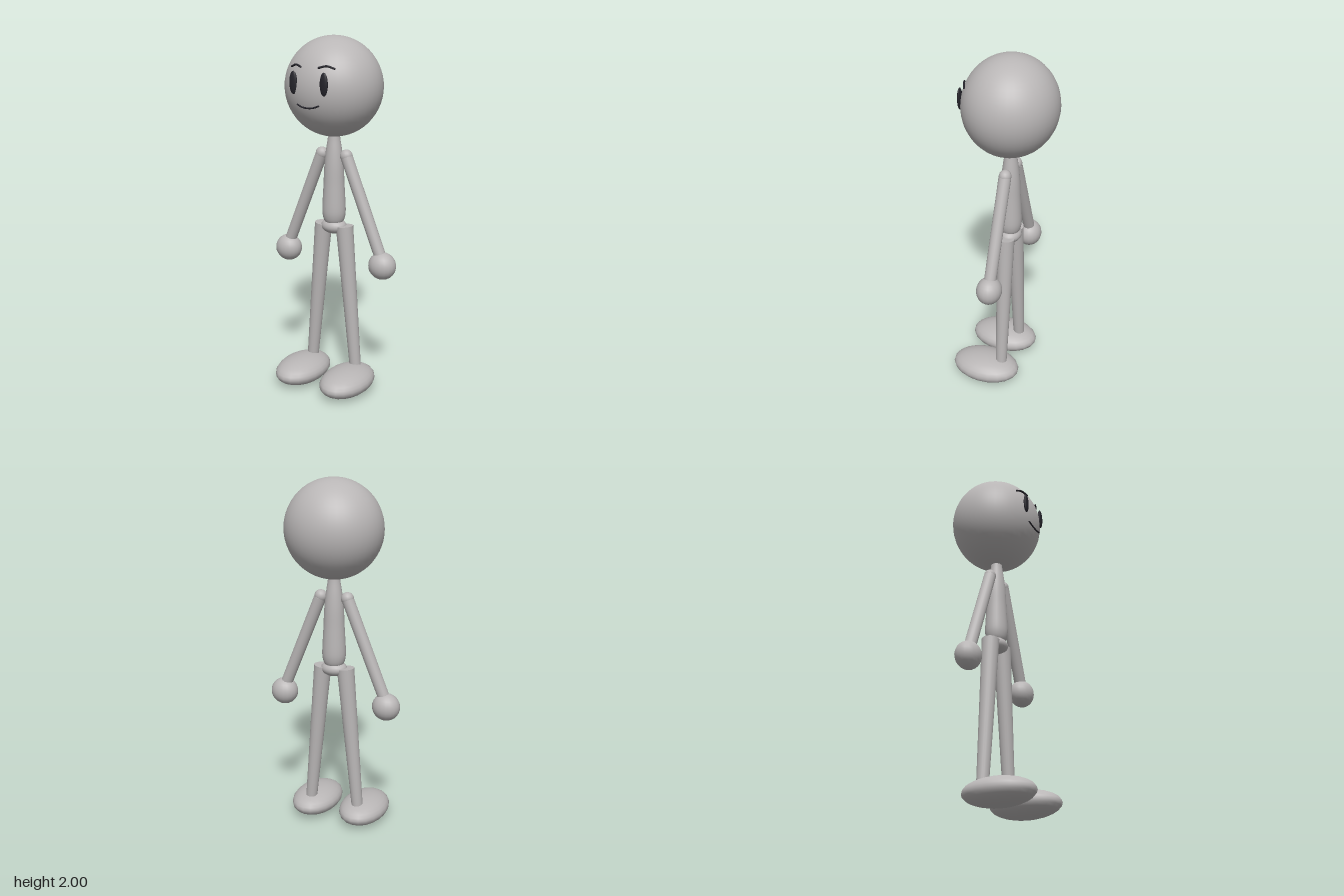
import * as THREE from 'three';

const skin = new THREE.MeshStandardMaterial({ color: 0xb9b6b6 });
skin.name = 'light grey';
const ink = new THREE.MeshStandardMaterial({ color: 0x25242b });
ink.name = 'dark face';

const Z = -0.018; // depth of the body's axis
const FLAT = 0.94; // the body is slightly flattened front to back

function add(parent, name, geometry, material) {
  const mesh = new THREE.Mesh(geometry, material);
  mesh.name = name;
  parent.add(mesh);
  return mesh;
}

function ellipsoid(parent, name, center, radii, material = skin, w = 24, h = 16) {
  const mesh = add(parent, name, new THREE.SphereGeometry(1, w, h), material);
  mesh.position.set(...center);
  mesh.scale.set(...radii);
  return mesh;
}

// Tapered limb between two points in the body's plane
function limb(parent, name, top, bottom, rTop, rBottom) {
  const a = new THREE.Vector3(top[0], top[1], Z);
  const b = new THREE.Vector3(bottom[0], bottom[1], Z);
  const mesh = add(parent, name, new THREE.CylinderGeometry(rTop, rBottom, a.distanceTo(b), 20), skin);
  mesh.position.copy(a).add(b).multiplyScalar(0.5);
  mesh.quaternion.setFromUnitVectors(new THREE.Vector3(0, 1, 0), a.sub(b).normalize());
  return mesh;
}

// Thin curved line with rounded ends
function stroke(parent, name, points, radius) {
  const pts = points.map((p) => new THREE.Vector3(...p));
  const curve = new THREE.CatmullRomCurve3(pts);
  const group = new THREE.Group();
  group.name = name;
  add(group, name + 'Line', new THREE.TubeGeometry(curve, 16, radius, 8), ink);
  for (const p of [points[0], points[points.length - 1]]) {
    ellipsoid(group, name + 'End', p, [radius, radius, radius], ink, 8, 6);
  }
  parent.add(group);
}

export function createModel() {
  const model = new THREE.Group();
  model.name = 'stickFigure';

  // Head
  ellipsoid(model, 'head', [0, 1.73, Z], [0.271, 0.27, 0.256], skin, 40, 28);

  // Torso, narrowing into the neck
  const profile = [[0, 0.955], [0.035, 0.962], [0.054, 0.98], [0.064, 1.01], [0.067, 1.05],
    [0.063, 1.13], [0.059, 1.2], [0.055, 1.29], [0.047, 1.37], [0.036, 1.44], [0.028, 1.49], [0, 1.5]];
  const spine = new THREE.SplineCurve(profile.map(([r, y]) => new THREE.Vector2(r, y)));
  const torsoPoints = spine.getPoints(36).map((p) => new THREE.Vector2(Math.max(0, p.x), p.y));
  const torso = add(model, 'torso', new THREE.LatheGeometry(torsoPoints, 24), skin);
  torso.position.z = Z;
  torso.scale.z = FLAT;

  // Pelvis
  ellipsoid(model, 'pelvis', [0, 0.951, Z], [0.076, 0.044, 0.062]);

  for (const [side, s] of [['left', 1], ['right', -1]]) {
    // Arm
    ellipsoid(model, side + 'Shoulder', [s * 0.08, 1.357, Z], [0.036, 0.036, 0.034], skin, 16, 12);
    limb(model, side + 'Arm', [s * 0.083, 1.35], [s * 0.307, 0.81], 0.034, 0.033);
    ellipsoid(model, side + 'Hand', [s * 0.315, 0.77], [0.079, 0.077, 0.07], skin, 20, 14)
      .position.z = Z;

    // Leg and foot
    limb(model, side + 'Leg', [s * 0.07, 0.96], [s * 0.151, 0.09], 0.049, 0.032);
    ellipsoid(model, side + 'Foot', [s * 0.153, 0.078, 0.077], [0.137, 0.075, 0.202], skin, 20, 14);

    // Eye and brow
    ellipsoid(model, side + 'Eye', [s * 0.095, 1.767, 0.224], [0.024, 0.06, 0.011], ink, 20, 14);
    stroke(model, side + 'Brow',
      [[s * 0.056, 1.848, 0.212], [s * 0.095, 1.857, 0.197], [s * 0.132, 1.845, 0.182]], 0.0055);
  }

  // Mouth
  stroke(model, 'mouth', [[-0.066, 1.656, 0.229], [-0.036, 1.645, 0.233], [0, 1.641, 0.234],
    [0.036, 1.645, 0.233], [0.066, 1.656, 0.229]], 0.0045);

  return model;
}
